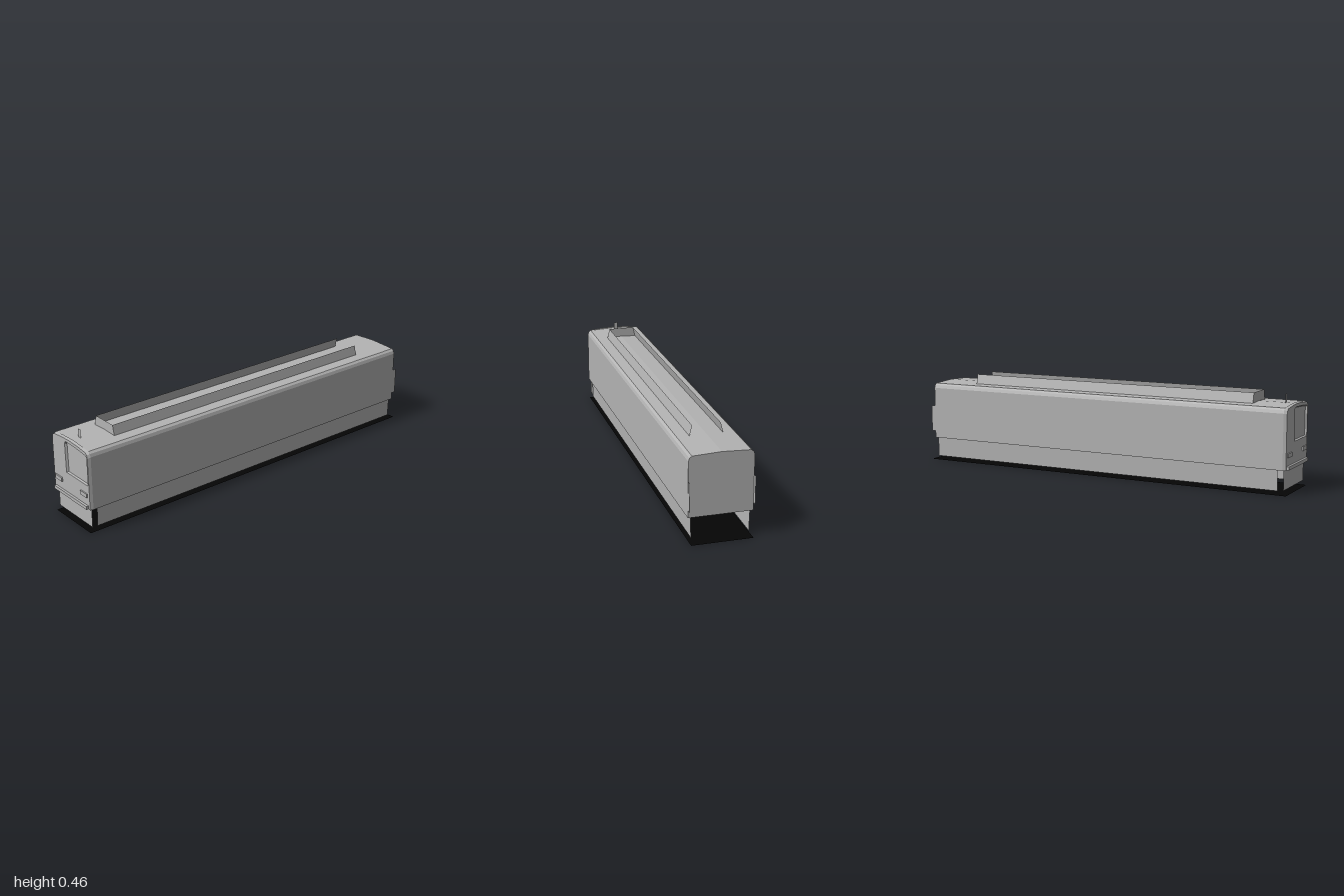
import * as THREE from 'three';

export function createModel() {
  const model = new THREE.Group();
  const grey = new THREE.MeshStandardMaterial({ color: 0xb4b4b4, side: THREE.DoubleSide, flatShading: true });
  grey.name = 'body grey';
  const black = new THREE.MeshStandardMaterial({ color: 0x050505, side: THREE.DoubleSide });
  black.name = 'base black';

  const add = (name, geometry, x = 0, y = 0, z = 0, material = grey) => {
    const mesh = new THREE.Mesh(geometry, material);
    mesh.name = name;
    mesh.position.set(x, y, z);
    model.add(mesh);
    return mesh;
  };

  // Skin between rings of equal point count; each ring is { pts: [[x, y]...], z }
  const loft = (rings) => {
    const out = [];
    for (let r = 0; r < rings.length - 1; r++) {
      const a = rings[r], b = rings[r + 1], n = a.pts.length;
      for (let i = 0; i < n; i++) {
        const j = (i + 1) % n;
        const p = [...a.pts[i], a.z], q = [...a.pts[j], a.z];
        const s = [...b.pts[j], b.z], t = [...b.pts[i], b.z];
        out.push(...p, ...q, ...s, ...p, ...s, ...t);
      }
    }
    const g = new THREE.BufferGeometry();
    g.setAttribute('position', new THREE.Float32BufferAttribute(out, 3));
    g.computeVertexNormals();
    return g;
  };

  // Flat quad from four corners
  const quad = (a, b, c, d) => {
    const g = new THREE.BufferGeometry();
    g.setAttribute('position', new THREE.Float32BufferAttribute([...a, ...b, ...c, ...a, ...c, ...d], 3));
    g.computeVertexNormals();
    return g;
  };

  const toShape = (pts) => new THREE.Shape(pts.map(([x, y]) => new THREE.Vector2(x, y)));

  // Mirrored car cross-section with rounded shoulders and a slightly crowned roof
  const section = (w, crown, inset = 0) => {
    const half = [[w, 0.12], [w, 0.385 - inset], [w - 0.005, 0.4 - inset], [w - 0.016, 0.409 - inset],
      [0.07, crown - 0.003 - inset]];
    const mirror = half.map(([x, y]) => [-x, y]).reverse();
    return [...half, [0, crown - inset], ...mirror];
  };

  // Car body with closed back
  const bodyPts = section(0.151, 0.415);
  add('carBody', loft([{ pts: bodyPts, z: -0.97 }, { pts: bodyPts, z: 0.97 }]));
  const back = add('backWall', new THREE.ShapeGeometry(toShape(bodyPts)), 0, 0, -0.97);
  back.rotation.y = Math.PI;

  // Cab front with bevelled rim and recessed windscreen
  const rimPts = section(0.151, 0.419);
  const facePts = section(0.146, 0.419, 0.003);
  add('cabRim', loft([{ pts: bodyPts, z: 0.97 }, { pts: rimPts, z: 0.973 }, { pts: facePts, z: 0.988 }]));
  const opening = [[-0.039, 0.241], [0.138, 0.241], [0.138, 0.386], [0.125, 0.391], [0.07, 0.397],
    [0, 0.4], [-0.033, 0.4], [-0.041, 0.39]];
  const pane = [[-0.033, 0.244], [0.137, 0.244], [0.137, 0.383], [0.125, 0.386], [0.07, 0.391],
    [0, 0.395], [-0.029, 0.396], [-0.035, 0.386]];
  const face = toShape(facePts);
  face.holes.push(toShape(opening));
  add('cabFace', new THREE.ShapeGeometry(face), 0, 0, 0.988);
  add('windscreenFrame', loft([{ pts: opening, z: 0.988 }, { pts: pane, z: 0.978 }]));
  add('windscreen', new THREE.ShapeGeometry(toShape(pane)), 0, 0, 0.978);

  // Headlights and bumper
  for (const s of [-1, 1]) {
    add(s > 0 ? 'leftHeadlight' : 'rightHeadlight', new THREE.BoxGeometry(0.053, 0.02, 0.009), s * 0.104, 0.188, 0.99);
  }
  add('bumper', new THREE.BoxGeometry(0.27, 0.017, 0.02), -0.002, 0.1295, 0.99);

  // Thin skirts below the body, open at the back
  for (const s of [-1, 1]) {
    const side = s > 0 ? 'left' : 'right';
    const x = s * 0.137, low = s * 0.134;
    add(side + 'Skirt', quad([low, 0.019, 0.945], [low, 0.019, -0.963], [x, 0.12, -0.963], [x, 0.12, 0.945]));
    // Side plate projecting past the back wall
    add(side + 'RearPlate', quad([s * 0.15, 0.155, -0.97], [s * 0.15, 0.155, -0.992],
      [s * 0.15, 0.29, -0.992], [s * 0.15, 0.29, -0.97]));
    // Roof fairing wall leaning inward
    add(side + 'RoofFairing', quad([s * 0.079, 0.411, 0.795], [s * 0.079, 0.411, -0.752],
      [s * 0.067, 0.461, -0.752], [s * 0.067, 0.461, 0.795]));
  }
  add('frontSkirt', new THREE.PlaneGeometry(0.277, 0.098), 0, 0.072, 0.975);
  add('frontRoofFairing', quad([-0.079, 0.411, 0.795], [0.079, 0.411, 0.795],
    [0.067, 0.461, 0.795], [-0.067, 0.461, 0.795]));

  // Small upright marker plate on the roof
  add('roofMarker', new THREE.PlaneGeometry(0.021, 0.044), -0.002, 0.435, 0.93);

  // Flat black base
  const base = add('basePlate', new THREE.PlaneGeometry(0.288, 1.99), 0, 0, -0.005, black);
  base.rotation.x = -Math.PI / 2;

  return model;
}
